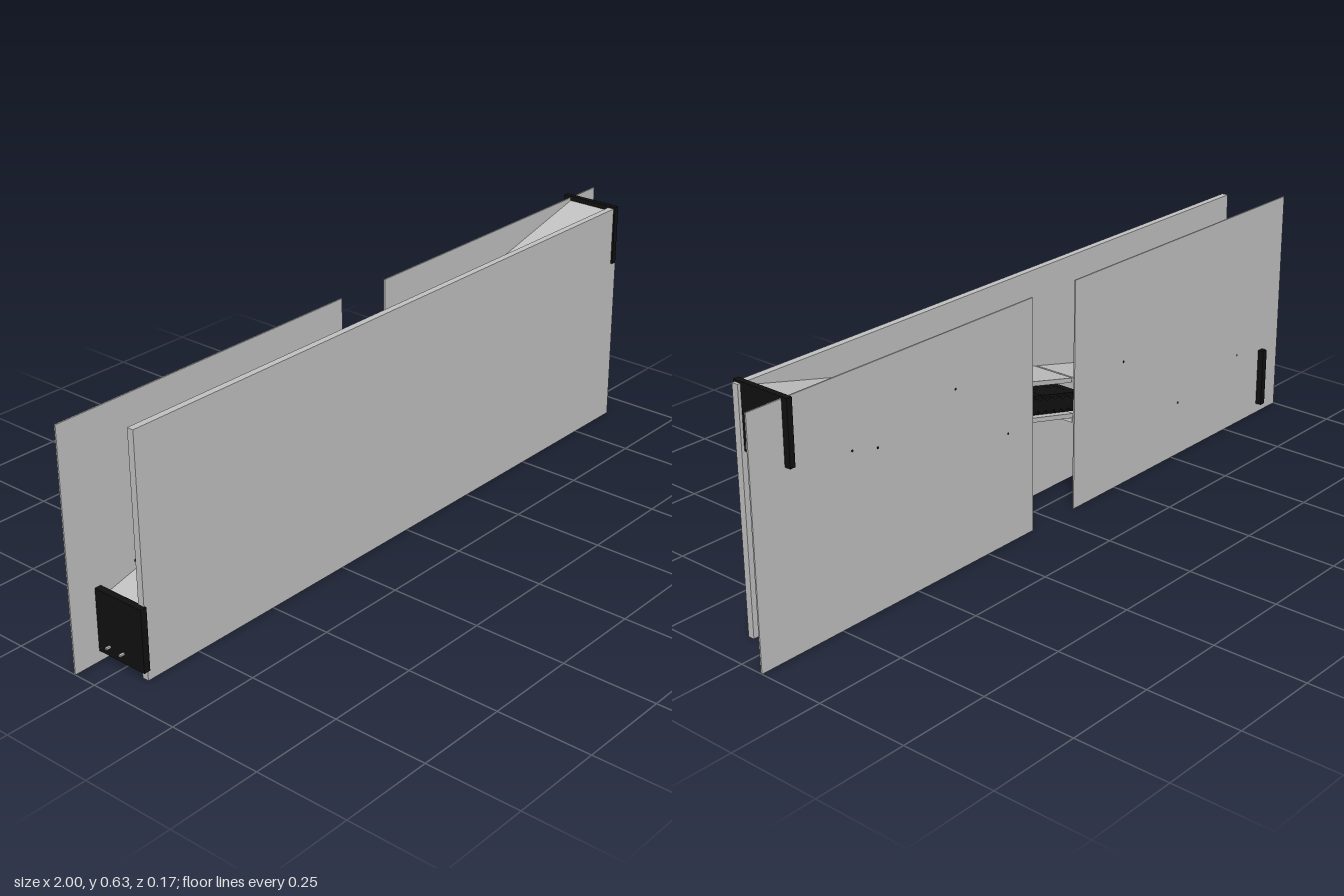
import * as THREE from 'three';

export function createModel() {
  const model = new THREE.Group();
  const grey = new THREE.MeshStandardMaterial({ color: 0xc0c0c0 });
  grey.name = 'light grey board';
  const black = new THREE.MeshStandardMaterial({ color: 0x101010 });
  black.name = 'black plastic';

  // Box given by its low and high bounds on each axis
  function box(name, material, x0, x1, y0, y1, z0, z1) {
    const mesh = new THREE.Mesh(new THREE.BoxGeometry(x1 - x0, y1 - y0, z1 - z0), material);
    mesh.position.set((x0 + x1) / 2, (y0 + y1) / 2, (z0 + z1) / 2);
    mesh.name = name;
    model.add(mesh);
    return mesh;
  }

  // Front panel, and the thin back panel in two halves with a gap
  box('frontPanel', grey, -0.91, 0.908, 0, 0.628, 0.062, 0.08);
  box('backPanelRight', grey, -1, -0.08, 0, 0.628, -0.067, -0.063);
  box('backPanelLeft', grey, 0.082, 1, 0, 0.628, -0.067, -0.063);

  // Sloping boards: top edge runs from (x0, y0) to (x1, y1)
  const SLOPE = 0.2476, THICK = 0.012;
  function ramp(name, x0, x1, y0) {
    const y1 = y0 + SLOPE * (x1 - x0);
    const length = Math.hypot(x1 - x0, y1 - y0);
    const geometry = new THREE.BoxGeometry(length, THICK, 0.125);
    geometry.translate(0, -THICK / 2, 0);
    const mesh = new THREE.Mesh(geometry, grey);
    mesh.position.set((x0 + x1) / 2, (y0 + y1) / 2, -0.0005);
    mesh.rotation.z = Math.atan(SLOPE);
    mesh.name = name;
    model.add(mesh);
  }
  ramp('upperRampTop', 0.077, 0.89, 0.42);
  ramp('upperRampBottom', -0.08, 0.89, 0.269);
  ramp('lowerRampTop', -0.905, -0.085, 0.162);
  ramp('middleRampTop', -0.075, 0.085, 0.368);
  ramp('lowerRampBottom', -0.905, -0.077, 0.052);

  // End plates with a pair of small hooks on each outer side
  box('endPlateLeft', black, 0.885, 0.9, 0.468, 0.633, -0.084, 0.085);
  box('endPlateRight', black, -0.925, -0.907, 0.028, 0.193, -0.084, 0.085);
  for (const z of [0.02, -0.025]) {
    box('hookLeft', grey, 0.9, 0.93, 0.499, 0.504, z - 0.003, z + 0.003);
    box('hookLeftTip', grey, 0.926, 0.93, 0.495, 0.499, z - 0.003, z + 0.003);
    box('hookRight', grey, -0.938, -0.925, 0.052, 0.057, z - 0.003, z + 0.003);
  }

  // Jointed black chain lying in the sloping channel
  const chain = new THREE.Group();
  chain.name = 'chain';
  const pin = new THREE.CylinderGeometry(0.02, 0.02, 0.11, 12).rotateX(Math.PI / 2);
  const link = new THREE.BoxGeometry(0.03, 0.05, 0.095);
  for (let i = -4; i <= 4; i++) {
    for (const [geometry, lift, dx] of [[pin, 0, 0], [link, 0, 0.014]]) {
      const mesh = new THREE.Mesh(geometry, black);
      const x = i * 0.03 + dx;
      mesh.position.set(x, 0.316 + lift + SLOPE * x, 0);
      mesh.rotation.z = Math.atan(SLOPE);
      mesh.name = geometry === pin ? 'chainPin' : 'chainLink';
      chain.add(mesh);
    }
  }
  model.add(chain);

  // Tiny screw heads on the back
  const screw = new THREE.CylinderGeometry(0.003, 0.003, 0.006, 8).rotateX(Math.PI / 2);
  const spots = [[0.7, 0.437], [0.62, 0.417], [0.36, 0.477], [0.175, 0.3],
    [-0.28, 0.35], [-0.525, 0.155], [-0.8, 0.21]];
  for (const [x, y] of spots) {
    const mesh = new THREE.Mesh(screw, black);
    mesh.position.set(x, y, -0.065);
    mesh.name = 'screw';
    model.add(mesh);
  }

  return model;
}
